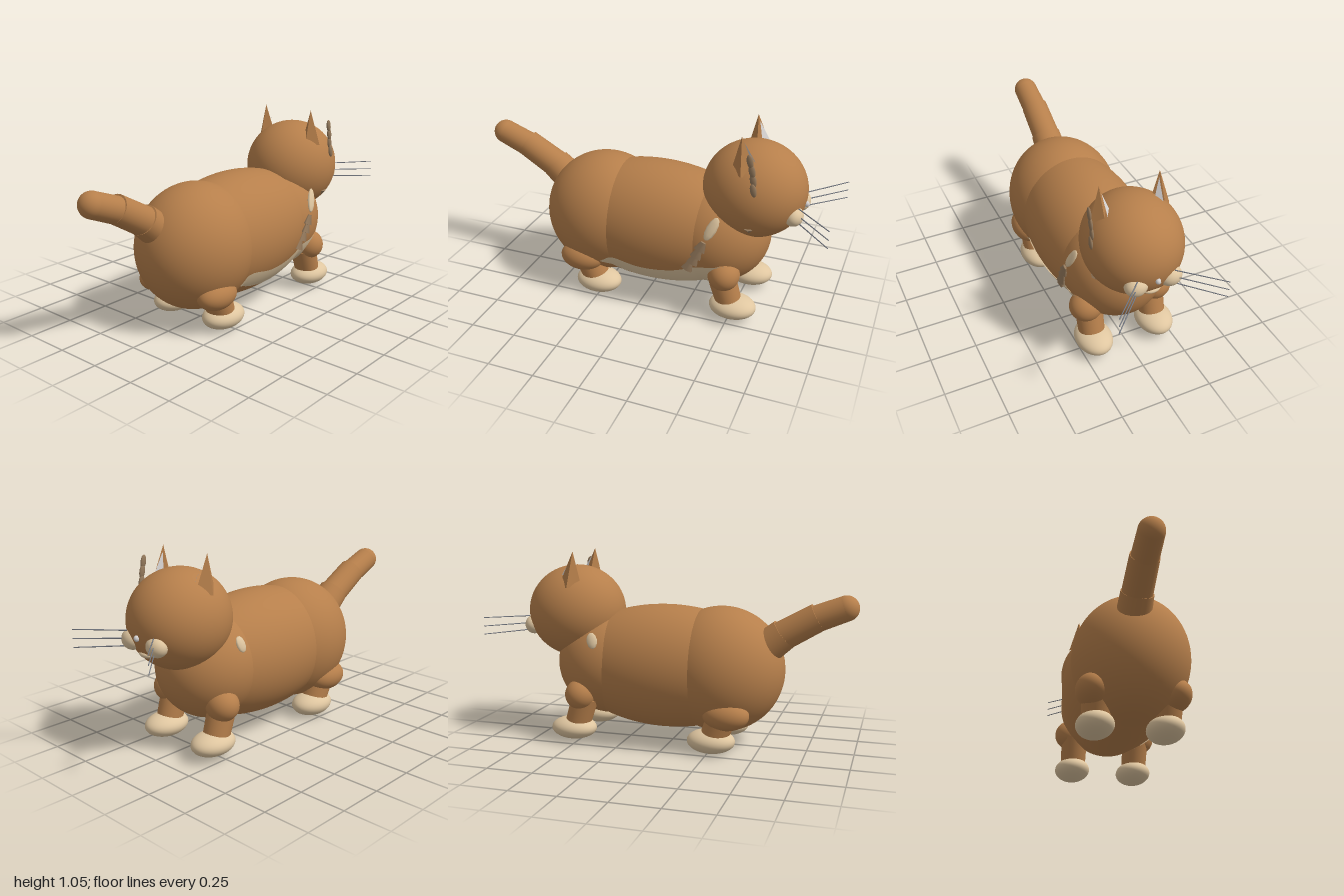
import * as THREE from 'three';

const paint = (name, color) => Object.assign(new THREE.MeshStandardMaterial({ color }), { name });

export function createModel() {
  const fur = paint('ginger fur', 0xb67f4b);
  const cream = paint('cream fur', 0xdfc6a0);
  cream.side = THREE.DoubleSide;
  const tan = paint('tan stripe', 0x94795c);
  const eyeGreen = paint('eye green', 0x3f6b5a);
  const grey = paint('whisker grey', 0x777b84);
  const pale = paint('pale inner ear', 0xd6d3d2);
  pale.side = THREE.DoubleSide;

  const cat = new THREE.Group();
  cat.name = 'cat';

  const add = (name, geometry, material, pos = [0, 0, 0], rot = [0, 0, 0]) => {
    const mesh = new THREE.Mesh(geometry, material);
    mesh.name = name;
    mesh.position.set(...pos);
    mesh.rotation.set(...rot);
    cat.add(mesh);
    return mesh;
  };
  const blob = (name, material, pos, radii, rot, seg = 40) =>
    add(name, new THREE.SphereGeometry(1, seg, Math.round(seg * 0.7)).scale(...radii), material, pos, rot);
  // Tapered rod between two points
  const rod = (name, material, a, b, ra, rb, seg = 28) => {
    const p = new THREE.Vector3(...a), q = new THREE.Vector3(...b);
    const mesh = add(name, new THREE.CylinderGeometry(rb, ra, p.distanceTo(q), seg), material);
    mesh.position.copy(p).lerp(q, 0.5);
    mesh.quaternion.setFromUnitVectors(new THREE.Vector3(0, 1, 0), q.sub(p).normalize());
    return mesh;
  };
  const triangle = (name, material, ...corners) => {
    const g = new THREE.BufferGeometry();
    g.setAttribute('position', new THREE.Float32BufferAttribute(corners.flat(), 3));
    g.computeVertexNormals();
    return add(name, g, material);
  };

  // Body: three overlapping rounded masses
  const masses = [
    ['hips', [-0.28, 0.425, 0], [0.342, 0.342, 0.308]],
    ['torso', [0.03, 0.425, 0], [0.6, 0.34, 0.306]],
    ['chest', [0.36, 0.43, 0], [0.302, 0.29, 0.272]],
  ];
  masses.forEach(([name, c, r]) => blob(name, fur, c, r, undefined, 64));
  const bodyZ = (x, y) => Math.max(...masses.map(([, c, r]) =>
    r[2] * Math.sqrt(Math.max(0, 1 - ((x - c[0]) / r[0]) ** 2 - ((y - c[1]) / r[1]) ** 2))));

  // Belly patch hugging the left flank
  const curve = (pts) => new THREE.CatmullRomCurve3(pts.map(([x, y]) => new THREE.Vector3(x, y, 0)));
  const upper = curve([[-0.22, 0.24], [-0.14, 0.285], [0.02, 0.265], [0.2, 0.28], [0.34, 0.325], [0.48, 0.35]]);
  const lower = curve([[-0.22, 0.235], [-0.1, 0.19], [0.06, 0.167], [0.22, 0.166], [0.36, 0.185], [0.48, 0.23]]);
  const patch = new THREE.PlaneGeometry(1, 1, 40, 10);
  const pp = patch.attributes.position;
  for (let i = 0; i < pp.count; i++) {
    const u = pp.getX(i) + 0.5, v = pp.getY(i) + 0.5;
    const p = lower.getPoint(u).lerp(upper.getPoint(u), v);
    pp.setXYZ(i, p.x, p.y, bodyZ(p.x, p.y) + 0.007);
  }
  patch.computeVertexNormals();
  add('bellyPatch', patch, cream);

  // Legs and paws
  for (const s of [1, -1]) {
    blob('shoulder', fur, [0.47, 0.275, s * 0.2], [0.085, 0.085, 0.09]);
    rod('frontLeg', fur, [0.45, 0.26, s * 0.18], [0.5, 0.1, s * 0.18], 0.074, 0.07);
    blob('frontPaw', cream, [0.52, 0.08, s * 0.18], [0.128, 0.063, 0.098]);
    blob('thigh', fur, [-0.35, 0.22, s * 0.21], [0.125, 0.08, 0.085]);
    rod('hindLeg', fur, [-0.33, 0.22, s * 0.18], [-0.28, 0.09, s * 0.18], 0.08, 0.074);
    blob('hindPaw', cream, [-0.265, 0.068, s * 0.18], [0.13, 0.066, 0.098]);
  }

  // Tail: stepped segments ending in a round tip
  rod('tailBase', fur, [-0.5, 0.54, -0.038], [-0.62, 0.638, -0.038], 0.092, 0.084);
  rod('tailMiddle', fur, [-0.58, 0.61, -0.04], [-0.795, 0.735, -0.04], 0.08, 0.075);
  rod('tailEnd', fur, [-0.76, 0.715, -0.04], [-0.934, 0.785, -0.04], 0.071, 0.067);
  blob('tailTip', fur, [-0.934, 0.785, -0.04], [0.067, 0.067, 0.067]);

  // Head
  blob('head', fur, [0.562, 0.712, 0], [0.274, 0.258, 0.254], undefined, 64);

  for (const s of [1, -1]) {
    // Four-sided ear with a pale inner panel
    const tip = [0.518, 1.053, s * 0.16];
    const back = [0.47, 0.86, s * 0.16], front = [0.605, 0.86, s * 0.16];
    const inner = [0.535, 0.86, s * 0.095], outer = [0.535, 0.86, s * 0.215];
    const ring = s > 0 ? [back, outer, front, inner] : [back, inner, front, outer];
    triangle('ear', fur, ...ring.flatMap((c, i) => [c, ring[(i + 1) % 4], tip]));
    triangle('innerEar', pale, [0.603, 0.9, s * 0.146], [0.563, 0.9, s * 0.109], [0.53, 1.02, s * 0.152]);

    blob('eye', eyeGreen, [0.775, 0.745, s * 0.12], [0.02, 0.036, 0.016], undefined, 20);
    blob('cheek', cream, [0.79, 0.635, s * 0.092], [0.05, 0.053, 0.06], undefined, 28);
    for (const y of [0.69, 0.643, 0.598]) {
      rod('whisker', grey, [0.815, 0.643 + (y - 0.643) * 0.85, s * 0.1], [1, y, s * 0.286], 0.0032, 0.0025, 6);
    }
  }
  blob('nose', pale, [0.835, 0.667, 0], [0.016, 0.016, 0.014], undefined, 8);
  blob('mouth', cream, [0.778, 0.575, 0], [0.03, 0.018, 0.047], undefined, 20);

  // Tuft strand beside the left ear
  [[0.585, 0.965, 0.24], [0.597, 0.915, 0.238], [0.605, 0.865, 0.236], [0.61, 0.815, 0.243]].forEach((p) =>
    blob('earTuft', tan, p, [0.017, 0.036, 0.009], [0, 0, 0.2], 12));

  // Collar ornaments on the neck sides
  const leaf = blob('neckTuft', cream, [0.41, 0.565, 0.255], [0.028, 0.07, 0.012], [-0.3, 0, -0.4], 8);
  leaf.material = cream;
  blob('rightNeckTuft', cream, [0.38, 0.585, -0.245], [0.03, 0.045, 0.012], [0.3, 0, -0.3], 8);
  [[0.365, 0.465], [0.345, 0.42], [0.325, 0.375], [0.295, 0.33]].forEach(([x, y]) =>
    add('neckStripe', new THREE.CylinderGeometry(0.016, 0.035, 0.055, 6).scale(1, 1, 0.4), tan,
      [x, y, bodyZ(x, y) + 0.005], [0, 0, -0.4]));
  add('chinTuft', new THREE.ConeGeometry(0.024, 0.04, 4).scale(1, 1, 0.4), tan, [0.59, 0.565, 0.208], [0.6, 0, Math.PI]);

  return cat;
}
